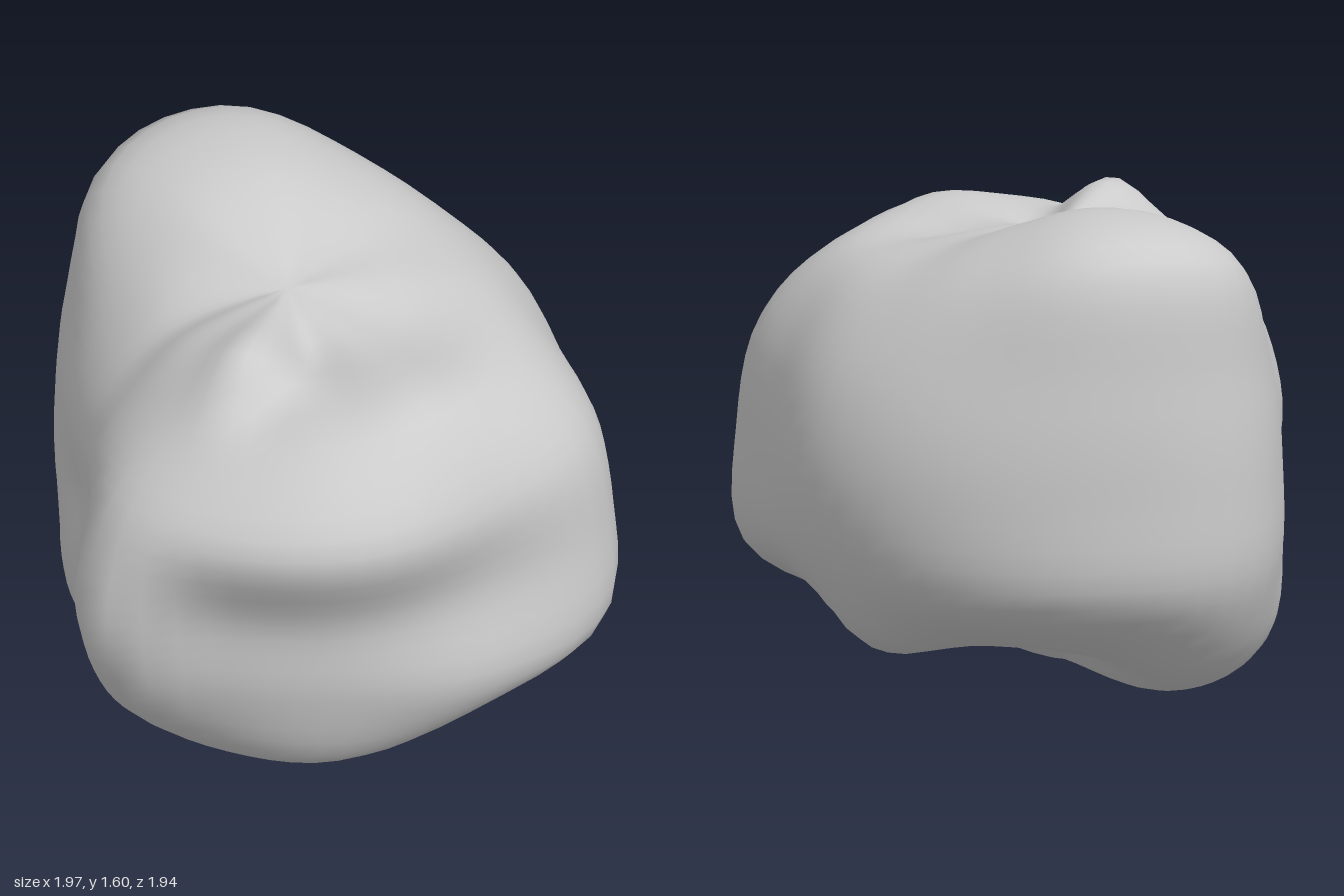
import * as THREE from 'three';

// Radii from the core: one row per latitude, one column per azimuth from +x towards +z
const AZIMUTHS = [0, 30, 60, 90, 120, 150, 172, 190, 210, 240, 270, 300, 330];
const LATITUDES = [-60, -40, -20, 0, 20, 40, 60];
const RADII = [
  [0.61, 0.62, 0.66, 0.78, 0.86, 0.87, 0.87, 0.86, 0.86, 0.87, 0.83, 0.68, 0.62],
  [0.87, 0.79, 0.84, 0.93, 0.95, 0.92, 0.91, 0.87, 0.83, 0.90, 0.96, 0.85, 0.82],
  [0.97, 0.95, 1.09, 1.00, 0.89, 0.88, 0.96, 0.79, 0.72, 0.79, 0.98, 1.00, 1.00],
  [0.99, 0.93, 1.04, 0.90, 0.85, 0.85, 1.00, 0.76, 0.66, 0.74, 0.94, 0.98, 1.00],
  [0.97, 0.92, 1.03, 0.99, 1.04, 0.99, 0.93, 0.78, 0.69, 0.76, 0.97, 1.03, 1.00],
  [0.90, 0.88, 0.92, 0.96, 0.95, 0.88, 0.81, 0.75, 0.70, 0.78, 1.09, 1.16, 1.01],
  [0.79, 0.76, 0.72, 0.74, 0.74, 0.85, 0.79, 0.75, 0.70, 0.76, 0.92, 0.96, 0.88],
];
const BOTTOM = 0.69, TOP = 0.69;

// Local bumps (+) and dents (-): direction, height, angular width
const FEATURES = [
  [-0.40, 0.60, 0.33, -0.05, 0.14], // groove in the top
  [-0.12, 0.64, 0.25, -0.04, 0.14],
  [-0.40, 0.75, 0.18, 0.02, 0.14],  // crest behind the groove
  [-0.10, 0.74, 0.65, 0.04, 0.18],  // front crest
  [0.75, -0.53, 0.00, 0.04, 0.18],  // low corner on the left
  [-0.50, -0.10, -0.42, -0.03, 0.18], // slanting crease at the back right
  [-0.65, 0.10, -0.15, -0.03, 0.18],
].map(([x, y, z, height, width]) => ({ dir: new THREE.Vector3(x, y, z).normalize(), height, width }));

// Smooth closed interpolation round one row (cubic, uneven spacing)
function ringRadius(row, deg) {
  const n = row.length;
  const angle = (k) => AZIMUTHS[(k + n) % n] + 360 * Math.floor(k / n);
  const value = (k) => row[(k + n) % n];
  const slope = (k) => (value(k + 1) - value(k - 1)) / (angle(k + 1) - angle(k - 1));
  const i = AZIMUTHS.findLastIndex((a) => a <= deg);
  const span = angle(i + 1) - angle(i), f = (deg - angle(i)) / span, g = 1 - f;
  return value(i) * g * g * (1 + 2 * f) + value(i + 1) * f * f * (3 - 2 * f)
    + span * f * g * (slope(i) * g - slope(i + 1) * f);
}

function profilePoint(deg, row) {
  const az = THREE.MathUtils.degToRad(deg), lat = THREE.MathUtils.degToRad(LATITUDES[row]);
  const r = ringRadius(RADII[row], deg % 360);
  return new THREE.Vector3(r * Math.cos(lat) * Math.cos(az), r * Math.sin(lat), r * Math.cos(lat) * Math.sin(az));
}

// Vertical profile at one azimuth, carried over both poles so they stay smooth
function meridian(deg) {
  const last = LATITUDES.length - 1;
  return new THREE.CatmullRomCurve3([
    profilePoint(deg + 180, 0),
    new THREE.Vector3(0, -BOTTOM, 0),
    ...LATITUDES.map((_, row) => profilePoint(deg, row)),
    new THREE.Vector3(0, TOP, 0),
    profilePoint(deg + 180, last),
  ]);
}

function addFeatures(p) {
  const dir = p.clone().normalize();
  let r = p.length();
  for (const f of FEATURES) r += f.height * Math.exp(-((dir.angleTo(f.dir) / f.width) ** 2));
  return dir.multiplyScalar(r);
}

function rockGeometry(around = 60, up = 40) {
  const positions = [], index = [];
  const push = (p) => positions.push(...addFeatures(p).toArray());
  for (let i = 0; i < around; i++) {
    const curve = meridian((i / around) * 360);
    for (let j = 1; j < up; j++) push(curve.getPoint(0.1 + 0.8 * (j / up)));
  }
  const rows = up - 1, south = around * rows, north = south + 1;
  push(new THREE.Vector3(0, -BOTTOM, 0));
  push(new THREE.Vector3(0, TOP, 0));
  for (let i = 0; i < around; i++) {
    const a = i * rows, b = ((i + 1) % around) * rows;
    index.push(south, a, b, a + rows - 1, north, b + rows - 1);
    for (let j = 0; j < rows - 1; j++) {
      index.push(a + j, a + j + 1, b + j, b + j, a + j + 1, b + j + 1);
    }
  }
  const geometry = new THREE.BufferGeometry();
  geometry.setAttribute('position', new THREE.Float32BufferAttribute(positions, 3));
  geometry.setIndex(index);
  geometry.computeBoundingBox();
  geometry.translate(0, -geometry.boundingBox.min.y, 0); // rest on the ground
  geometry.computeVertexNormals();
  return geometry;
}

export function createModel() {
  const group = new THREE.Group();
  group.name = 'boulder';
  const rock = new THREE.Mesh(rockGeometry(), new THREE.MeshStandardMaterial({ color: 0xcccccc }));
  rock.name = 'rock';
  group.add(rock);
  return group;
}
